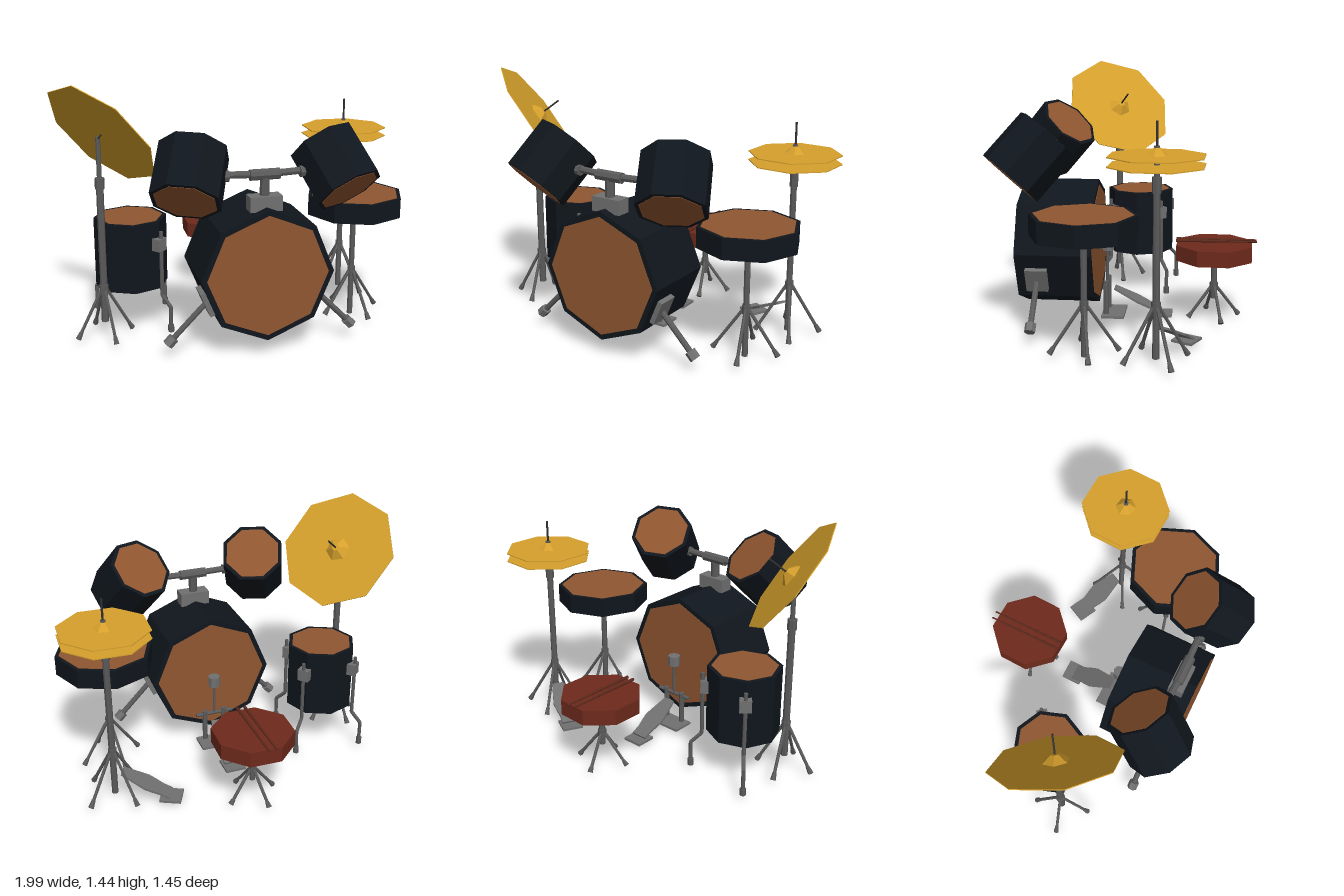
import * as THREE from 'three';

const mat = (color) => new THREE.MeshStandardMaterial({ color, flatShading: true, side: THREE.DoubleSide });
const V = (x, y, z) => new THREE.Vector3(x, y, z);
const UP = V(0, 1, 0);

export function createModel() {
  const shell = mat(0x10161d), skin = mat(0x8f5630), gold = mat(0xd6a02c);
  const metal = mat(0x5a5a5a), plate = mat(0x707070), red = mat(0x6e2a1c), dark = mat(0x303030);
  const root = new THREE.Group();

  const group = (name, parent = root) => {
    const g = new THREE.Group();
    g.name = name;
    parent.add(g);
    return g;
  };
  const add = (parent, name, geo, material, x = 0, y = 0, z = 0) => {
    const m = new THREE.Mesh(geo, material);
    m.name = name;
    m.position.set(x, y, z);
    parent.add(m);
    return m;
  };
  const box = (parent, name, w, h, d, x, y, z, material = plate) =>
    add(parent, name, new THREE.BoxGeometry(w, h, d), material, x, y, z);
  // Round bar between two points
  const rod = (parent, name, a, b, r, material = metal, r2 = r, sides = 8) => {
    const d = b.clone().sub(a);
    const m = add(parent, name, new THREE.CylinderGeometry(r2, r, d.length(), sides), material);
    m.position.copy(a).addScaledVector(d, 0.5);
    m.quaternion.setFromUnitVectors(UP, d.normalize());
    return m;
  };
  // Eight-sided drum along local y, with a skin at each end
  const drum = (name, r, h, rim = 0.022) => {
    const g = group(name);
    add(g, 'shell', new THREE.CylinderGeometry(r, r, h, 8), shell);
    for (const s of [-1, 1])
      add(g, 'drumHead', new THREE.CylinderGeometry(r - rim, r - rim, 0.004, 8), skin, 0, s * h / 2, 0);
    return g;
  };
  // Pole with splayed legs
  const stand = (name, x, z, base, top, poleR, legTop, spread, turn) => {
    const g = group(name);
    g.position.set(x, 0, z);
    rod(g, 'pole', V(0, base, 0), V(0, top, 0), poleR);
    add(g, 'legCollar', new THREE.CylinderGeometry(poleR + 0.006, poleR + 0.006, 0.05, 8), metal, 0, legTop, 0);
    for (let i = 0; i < 4; i++) {
      const a = turn + i * Math.PI / 2, sx = Math.sin(a), cz = Math.cos(a);
      const foot = V(sx * spread, 0.025, cz * spread);
      const hip = V(sx * 0.015, legTop, cz * 0.015);
      rod(g, 'leg', foot, hip, 0.009, metal, 0.009, 6);
      rod(g, 'footCap', foot, foot.clone().lerp(hip, 0.14), 0.016, metal, 0.011, 6);
    }
    return g;
  };
  const cymbal = (parent, name, r, bellR) => {
    const g = group(name, parent);
    add(g, 'disc', new THREE.CylinderGeometry(r, r, 0.005, 8), gold);
    if (bellR) add(g, 'bell', new THREE.CylinderGeometry(bellR * 0.3, bellR, 0.038, 6), gold, 0, 0.02, 0);
    return g;
  };

  // Bass drum
  const bass = drum('bassDrum', 0.36, 0.42, 0.03);
  bass.position.set(0.05, 0.45, 0.375);
  bass.rotation.x = Math.PI / 2;

  // Bass drum spurs
  for (const s of [-1, 1]) {
    const g = group('bassDrumSpur');
    const p = box(g, 'spurPlate', 0.04, 0.14, 0.12, 0.05 + s * 0.307, 0.303, 0.47);
    p.rotation.z = -s * Math.PI / 8;
    const foot = V(0.05 + s * 0.52, 0.075, 0.47), hip = V(0.05 + s * 0.3, 0.3, 0.47);
    rod(g, 'spurLeg', foot, hip, 0.016);
    rod(g, 'spurFoot', foot, foot.clone().lerp(hip, 0.16), 0.03, plate, 0.03, 6);
  }

  // Mounted toms and their holder
  const holder = group('tomHolder');
  box(holder, 'mountBlock', 0.175, 0.08, 0.085, 0.05, 0.825, 0.49);
  rod(holder, 'mountPost', V(0.05, 0.85, 0.49), V(0.05, 0.96, 0.49), 0.026);
  rod(holder, 'sleeve', V(-0.03, 0.975, 0.49), V(0.13, 0.975, 0.49), 0.03);
  for (const s of [-1, 1]) {
    rod(holder, 'arm', V(0.05, 0.975, 0.49), V(0.05 + s * 0.3, 0.985, 0.48), 0.019);
    rod(holder, 'armClamp', V(0.05 + s * 0.19, 0.977, 0.488), V(0.05 + s * 0.215, 0.978, 0.487), 0.03);
    const tom = drum('mountedTom', 0.188, 0.3);
    tom.position.set(0.05 + s * 0.39, 0.99, 0.48);
    tom.quaternion.setFromUnitVectors(UP, V(-s * 0.295, 0.72, -0.62).normalize());
  }

  // Floor tom with three bent legs
  const floorTom = drum('floorTom', 0.203, 0.39);
  floorTom.position.set(-0.577, 0.455, -0.02);
  floorTom.rotation.y = -0.05;
  const legs = group('floorTomLegs');
  legs.position.set(-0.577, 0, -0.02);
  for (let i = 0; i < 3; i++) {
    const g = group('floorTomLeg', legs);
    g.rotation.y = 0.68 + i * Math.PI / 2;
    box(g, 'bracket', 0.065, 0.07, 0.05, 0, 0.525, 0.212);
    const pts = [V(0, 0.6, 0.225), V(0, 0.23, 0.225), V(0, 0.17, 0.285), V(0, 0.03, 0.285)];
    for (let k = 0; k < 3; k++) rod(g, 'legBar', pts[k], pts[k + 1], 0.011);
    rod(g, 'footCap', V(0, 0.025, 0.285), V(0, 0.065, 0.285), 0.017);
  }

  // Shallow side drum on a stand
  const side = drum('sideDrum', 0.278, 0.112);
  side.position.set(0.69, 0.688, 0.16);
  stand('sideDrumStand', 0.69, 0.16, 0, 0.64, 0.017, 0.27, 0.18, 0.25);

  // Tilted crash cymbal
  const crashStand = stand('crashStand', -0.755, 0.135, 0.1, 0.9, 0.02, 0.29, 0.16, 0.25);
  rod(crashStand, 'heightCollar', V(0, 0.86, 0), V(0, 0.92, 0), 0.026);
  rod(crashStand, 'upperPole', V(0, 0.9, 0), V(0, 1.14, 0), 0.013);
  const crash = cymbal(root, 'crashCymbal', 0.35, 0.075);
  crash.position.set(-0.735, 1.153, 0.135);
  const n = V(0.667, 0.589, -0.455).normalize();
  const ex = n.clone().cross(V(0.114, 0.523, 0.843)).normalize();
  crash.quaternion.setFromRotationMatrix(new THREE.Matrix4().makeBasis(ex, n, ex.clone().cross(n)));
  rod(crash, 'spike', V(0, -0.03, 0), V(0, 0.145, 0), 0.005, dark);

  // Hi-hat
  const hat = stand('hiHatStand', 0.76, -0.21, 0.03, 0.9, 0.018, 0.3, 0.18, 0.5);
  rod(hat, 'heightCollar', V(0, 0.87, 0), V(0, 0.95, 0), 0.024);
  rod(hat, 'upperPole', V(0, 0.94, 0), V(0, 1.1, 0), 0.014);
  rod(hat, 'spike', V(0, 1.08, 0), V(0, 1.22, 0), 0.006, dark);
  for (const [y, bell] of [[1.005, 0], [1.052, 0.06]]) {
    const c = cymbal(hat, 'hiHatCymbal', 0.25, bell);
    c.position.y = y;
    c.rotation.y = 0.35;
  }

  // Stool with a pair of sticks
  const seat = add(root, 'stoolSeat', new THREE.CylinderGeometry(0.228, 0.228, 0.088, 8), red, 0.047, 0.41, -0.492);
  seat.rotation.y = 0.36;
  stand('stoolStand', 0.047, -0.492, 0.13, 0.37, 0.017, 0.2, 0.15, 0.3);
  for (const x of [0.01, 0.053])
    rod(root, 'drumstick', V(x, 0.464, -0.275), V(x, 0.466, -0.73), 0.009, mat(0x5a281b), 0.005);

  // Foot pedals: flat heel plate and a waisted, sloping board
  const outline = new THREE.Shape();
  outline.moveTo(-0.05, 0);
  outline.bezierCurveTo(-0.035, 0.08, -0.085, 0.13, -0.055, 0.2);
  outline.lineTo(-0.035, 0.3);
  outline.lineTo(0.035, 0.3);
  outline.lineTo(0.055, 0.2);
  outline.bezierCurveTo(0.085, 0.13, 0.035, 0.08, 0.05, 0);
  const boardGeo = new THREE.ExtrudeGeometry(outline, { depth: 0.012, bevelEnabled: false, curveSegments: 4 });
  boardGeo.rotateX(Math.PI / 2);
  const pedal = (name, x, z, turn) => {
    const g = group(name);
    g.position.set(x, 0, z);
    g.rotation.y = turn;
    box(g, 'heelPlate', 0.12, 0.014, 0.12, 0, 0.03, 0.06);
    const b = add(g, 'footBoard', boardGeo, plate, 0, 0.05, 0.06);
    b.rotation.x = -0.46;
    return g;
  };
  pedal('hiHatPedal', 0.42, -0.38, 1.11);
  const kick = pedal('kickPedal', 0.05, -0.255, 0);

  // Kick pedal frame and beater
  box(kick, 'basePlate', 0.22, 0.014, 0.13, 0, 0.03, 0.335);
  for (const s of [-1, 1]) rod(kick, 'framePost', V(s * 0.06, 0.03, 0.375), V(s * 0.06, 0.23, 0.375), 0.016);
  rod(kick, 'axle', V(-0.115, 0.21, 0.375), V(0.115, 0.21, 0.375), 0.011);
  rod(kick, 'beaterRod', V(0, 0.2, 0.375), V(0, 0.42, 0.372), 0.009);
  rod(kick, 'beaterHead', V(0, 0.4, 0.372), V(0, 0.46, 0.372), 0.036, plate);

  return root;
}
